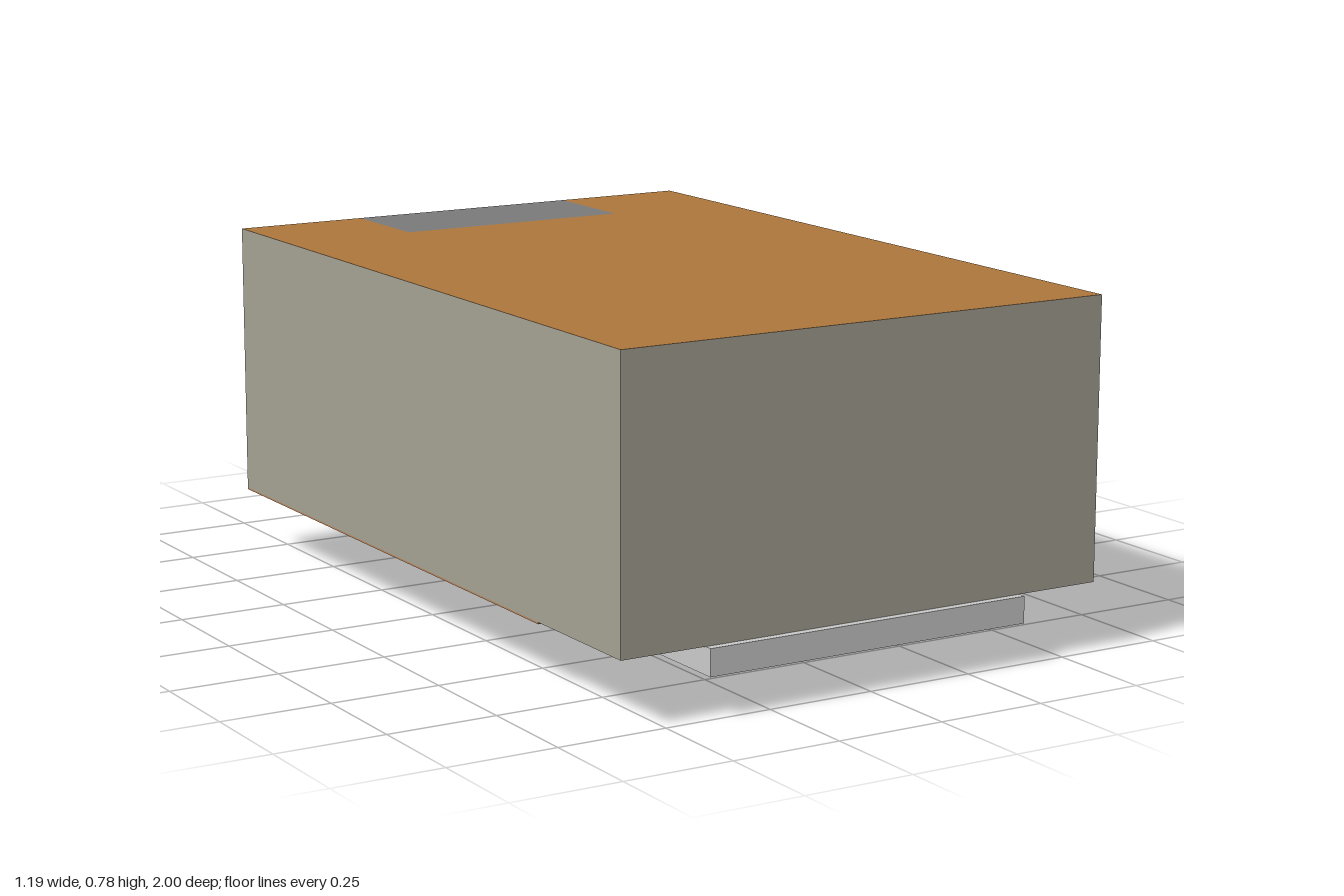
import * as THREE from 'three';

const mat = (name, color) => {
  const m = new THREE.MeshStandardMaterial({ color });
  m.name = name;
  return m;
};

export function createModel() {
  const model = new THREE.Group();
  const stone = mat('stone', 0xa4a092);
  const brown = mat('brown', 0xac763b);
  const tan = mat('tan', 0xb8835a);
  const light = mat('light grey', 0xc9c9c9);
  const dark = mat('dark grey', 0x7a7a7a);

  const add = (name, geometry, material) => {
    const mesh = new THREE.Mesh(geometry, material);
    mesh.name = name;
    model.add(mesh);
    return mesh;
  };
  // Box given by its minimum and maximum on each axis
  const box = (name, material, x0, x1, y0, y1, z0, z1) =>
    add(name, new THREE.BoxGeometry(x1 - x0, y1 - y0, z1 - z0), material)
      .position.set((x0 + x1) / 2, (y0 + y1) / 2, (z0 + z1) / 2);
  // Outline in x and y, extruded along z
  const prism = (name, material, points, z0, z1) => {
    const shape = new THREE.Shape(points.map(([x, y]) => new THREE.Vector2(x, y)));
    add(name, new THREE.ExtrudeGeometry(shape, { depth: z1 - z0, bevelEnabled: false }), material)
      .position.z = z0;
  };

  const W = 0.595, BACK = -0.765, FRONT = 0.982, LOW = 0.15, TOP = 0.78;
  const NX = 0.282, NZ = -0.512, T = 0.004;

  // Main body: a block with a notch in the rear
  const outline = new THREE.Shape([
    [-W, -FRONT], [W, -FRONT], [W, -BACK], [NX, -BACK],
    [NX, -NZ], [-NX, -NZ], [-NX, -BACK], [-W, -BACK],
  ].map(([x, y]) => new THREE.Vector2(x, y)));
  const body = new THREE.ExtrudeGeometry(outline, { depth: TOP - LOW, bevelEnabled: false });
  body.rotateX(-Math.PI / 2).translate(0, LOW, 0);
  add('body', body, [brown, stone]);

  // Notch lining and its cover
  box('notchCover', dark, -NX, NX, TOP - T, TOP, BACK, NZ);
  box('notchBackWall', dark, -NX, NX, LOW, TOP - T, NZ - T, NZ);

  // Base plate under the body
  box('basePlate', light, -0.395, 0.395, 0.09, LOW, -0.76, 1);

  for (const s of [-1, 1]) {
    const side = s < 0 ? 'right' : 'left';
    const span = (a, b) => (s > 0 ? [a, b] : [-b, -a]);
    box(side + 'NotchWall', dark, ...span(NX - T, NX), LOW, TOP - T, BACK, NZ);
    box(side + 'UndersidePanel', tan, ...span(0.395, W), LOW - T, LOW, BACK, 0.65);
    // Triangular gusset between base plate and body
    prism(side + 'Gusset', dark, [[s * 0.395, 0.09], [s * W, LOW], [s * 0.395, LOW]], BACK, -0.725);
    // Slide rail with lipped edges
    prism(side + 'Rail', light, [
      [0.14, 0.09], [0.155, 0.072], [0.162, 0.079], [0.17, 0.071], [0.22, 0.071],
      [0.228, 0.079], [0.235, 0.072], [0.255, 0.09],
    ].map(([x, y]) => [s * x, y]), -0.72, 0.695);
  }

  // Rear drive unit: tall core, wider sides and a mounting tab
  box('driveCore', light, -0.285, 0.285, 0, 0.355, -1, -0.757);
  box('driveSides', light, -0.326, 0.326, 0.036, 0.341, -0.997, -0.757);
  box('driveTab', light, -0.285, 0.285, 0.05, 0.089, -0.757, -0.71);

  return model;
}
